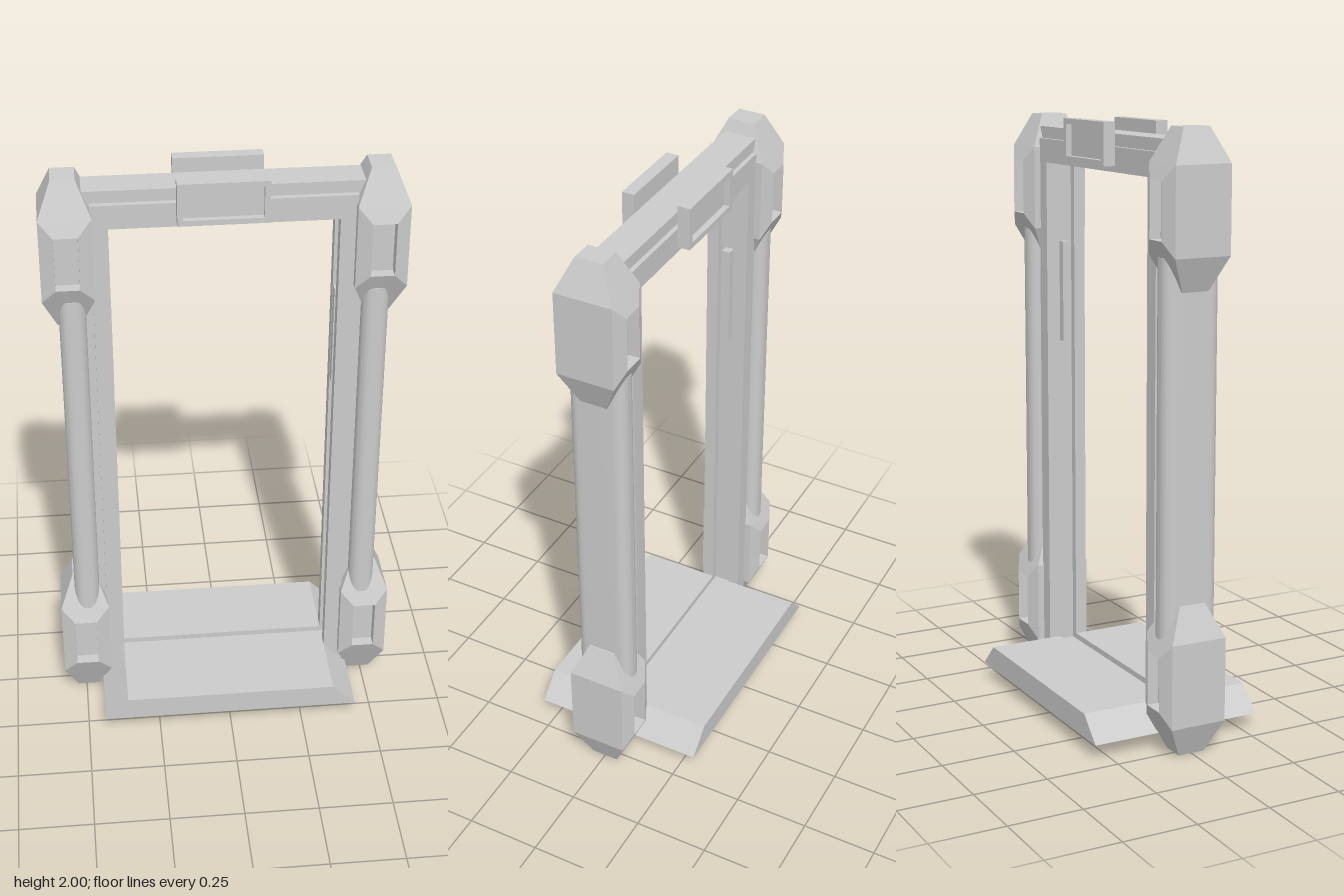
import * as THREE from 'three';
import { toCreasedNormals } from 'three/addons/utils/BufferGeometryUtils.js';
import { ConvexGeometry } from 'three/addons/geometries/ConvexGeometry.js';

const grey = new THREE.MeshStandardMaterial({ color: 0xcccccc, flatShading: true });
const smooth = new THREE.MeshStandardMaterial({ color: 0xcccccc });
const inward = new THREE.MeshStandardMaterial({ color: 0xcccccc, flatShading: true, side: THREE.BackSide });

function add(parent, name, geometry, material = grey) {
  const mesh = new THREE.Mesh(geometry, material);
  mesh.name = name;
  parent.add(mesh);
  return mesh;
}

const polygon = (points) => new THREE.Shape(points.map(([x, y]) => new THREE.Vector2(x, y)));
const rect = (x0, x1, y0, y1) => polygon([[x0, y0], [x1, y0], [x1, y1], [x0, y1]]);

// Extrudes a front-facing outline from z0 to z1
function slab(shape, z0, z1, hole) {
  if (hole) shape.holes.push(hole);
  const g = new THREE.ExtrudeGeometry(shape, { depth: z1 - z0, bevelEnabled: false });
  return g.translate(0, 0, z0);
}

// Faceted corner block, open where the front and back pockets sit
function cornerGeometry() {
  const pts = [];
  for (const sx of [-1, 1]) for (const sy of [-1, 1]) for (const sz of [-1, 1])
    for (const [x, y, z] of [[0.038, 0.25, 0.046], [0.083, 0.14, 0.0974], [0.038, 0.09, 0.12]])
      pts.push(new THREE.Vector3(sx * x, sy * y, sz * z));
  const src = new ConvexGeometry(pts).getAttribute('position');
  const kept = [];
  for (let i = 0; i < src.count; i += 3) {
    const tri = [0, 1, 2].map((k) => new THREE.Vector3().fromBufferAttribute(src, i + k));
    if (!tri.every((p) => Math.abs(p.z) > 0.119)) tri.forEach((p) => kept.push(p));
  }
  const g = new THREE.BufferGeometry().setFromPoints(kept);
  g.computeVertexNormals();
  return g;
}

// Box seen from inside, without its +z face
function pocketGeometry() {
  const g = new THREE.BoxGeometry(0.076, 0.18, 0.04);
  const index = Array.from(g.index.array);
  index.splice(24, 6);
  g.setIndex(index);
  g.clearGroups();
  return g;
}

// Upright post with a rounded oblong section
function postGeometry() {
  const hx = 0.043, hz = 0.098, r = 0.038;
  const s = new THREE.Shape();
  s.absarc(hx - r, hz - r, r, 0, Math.PI / 2);
  s.absarc(r - hx, hz - r, r, Math.PI / 2, Math.PI);
  s.absarc(r - hx, r - hz, r, Math.PI, Math.PI * 1.5);
  s.absarc(hx - r, r - hz, r, Math.PI * 1.5, Math.PI * 2);
  const g = new THREE.ExtrudeGeometry(s, { depth: 1.22, bevelEnabled: false, curveSegments: 8 });
  g.rotateX(-Math.PI / 2).translate(0, 0.385, 0);
  return toCreasedNormals(g, 0.8);
}

export function createModel() {
  const model = new THREE.Group();
  model.name = 'walkThroughGate';

  // Door frame: front and back lips around a wider core with an inner groove
  const opening = () => rect(-0.36, 0.36, 0.13, 1.84);
  const lip = () => rect(-0.415, 0.415, 0.055, 1.92);
  const core = () => rect(-0.44, 0.44, 0.055, 1.96);
  add(model, 'frontLip', slab(lip(), 0.05, 0.07, opening()));
  add(model, 'backLip', slab(lip(), -0.075, -0.06, opening()));
  add(model, 'frontCore', slab(core(), 0.03, 0.05, opening()));
  add(model, 'backCore', slab(core(), -0.06, -0.035, opening()));
  add(model, 'grooveCore', slab(core(), -0.035, 0.03, rect(-0.385, 0.385, 0.11, 1.865)));

  // Ramped floor plate with a cross groove
  const ramp = (top) => polygon([[-0.44, 0.05], [0.44, 0.05], [0.49 - top, top], [top - 0.49, top]]);
  add(model, 'frontFloor', slab(ramp(0.13), 0.03, 0.3));
  add(model, 'backFloor', slab(ramp(0.13), -0.3, -0.035));
  add(model, 'floorGroove', slab(ramp(0.11), -0.035, 0.03));

  // Corner blocks, posts and sensor strips on both sides
  const corner = cornerGeometry(), pocket = pocketGeometry(), post = postGeometry();
  for (const side of [-1, 1]) {
    for (const y of [0.25, 1.75]) {
      const block = new THREE.Group();
      block.name = 'cornerBlock';
      block.position.set(side * 0.492, y, 0);
      add(block, 'cornerShell', corner);
      for (const face of [-1, 1]) {
        const p = add(block, 'pocket', pocket, inward);
        p.position.z = face * 0.1;
        p.rotation.y = face < 0 ? Math.PI : 0;
      }
      model.add(block);
    }
    add(model, 'post', post, smooth).position.x = side * 0.482;
    add(model, 'sensorStrip', new THREE.BoxGeometry(0.03, 0.35, 0.03)).position.set(side * 0.373, 1.39, 0);
  }

  // Display panels with a raised rim, front and back
  for (const face of [-1, 1]) {
    const panel = new THREE.Group();
    panel.name = 'displayPanel';
    panel.position.set(-0.007, 0, face > 0 ? 0.07 : -0.077);
    panel.rotation.y = face < 0 ? Math.PI : 0;
    add(panel, 'panelRim', slab(rect(-0.143, 0.143, 1.86, 2), 0, 0.042, rect(-0.125, 0.125, 1.878, 1.982)));
    add(panel, 'screen', slab(rect(-0.125, 0.125, 1.878, 1.982), 0, 0.022));
    model.add(panel);
  }
  return model;
}
